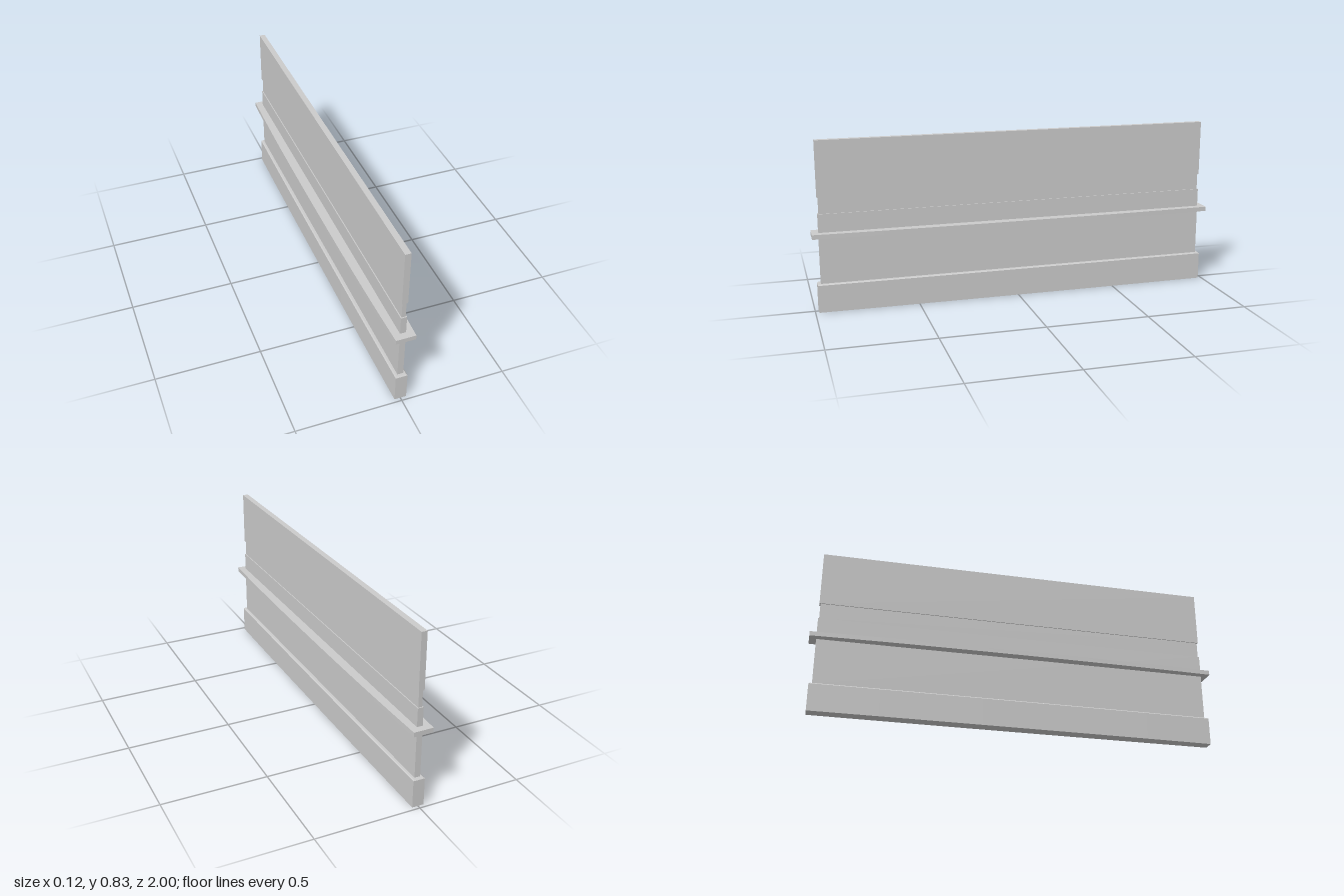
import * as THREE from 'three';

const material = new THREE.MeshStandardMaterial({ color: 0xcccccc, flatShading: true });

// Long plan outline whose two sides bow gently outward towards the middle
function bowedOutline(endX, midX, halfZ, segments = 12) {
  const points = [];
  for (const side of [1, -1]) {
    for (let i = 0; i <= segments; i++) {
      const t = -1 + (2 * i) / segments;
      const x = endX + (midX - endX) * (1 - Math.abs(t) ** 2.5);
      points.push(new THREE.Vector2(side * x, side * t * halfZ));
    }
  }
  return new THREE.Shape(points);
}

// Upright slab from a plan outline, standing on y = 0
function slab(outline, height, steps = 1) {
  const geometry = new THREE.ExtrudeGeometry(outline, { depth: height, steps, bevelEnabled: false });
  return geometry.rotateX(-Math.PI / 2);
}

export function createModel() {
  const group = new THREE.Group();

  function add(name, geometry, y) {
    const mesh = new THREE.Mesh(geometry, material);
    mesh.name = name;
    mesh.position.y = y;
    group.add(mesh);
  }

  // Base plinth with a small chamfer round its top edge
  const height = 0.139, chamfer = 0.005;
  const base = slab(bowedOutline(0.028, 0.031, 0.983), height, 2);
  const p = base.attributes.position;
  for (let i = 0; i < p.count; i++) {
    const y = p.getY(i);
    if (y > height * 0.75) {
      p.setX(i, p.getX(i) - Math.sign(p.getX(i)) * chamfer);
      p.setZ(i, p.getZ(i) * (1 - chamfer / 0.983));
    } else if (y > height * 0.25) {
      p.setY(i, height - chamfer);
    }
  }
  base.computeVertexNormals();
  add('basePlinth', base, 0);

  // Thin wall panel, with a recessed band running all the way round it
  const bands = [
    ['lowerPanel', 0.139, 0.478, 0.014, 0.967],
    ['recessedBand', 0.478, 0.557, 0.0095, 0.962],
    ['upperPanel', 0.557, 0.827, 0.014, 0.967],
  ];
  for (const [name, bottom, top, halfX, halfZ] of bands) {
    add(name, new THREE.BoxGeometry(2 * halfX, top - bottom, 2 * halfZ), (bottom + top) / 2);
  }

  // Projecting ledge with bowed sides
  add('ledge', slab(bowedOutline(0.047, 0.06, 1), 0.022), 0.367);

  return group;
}
